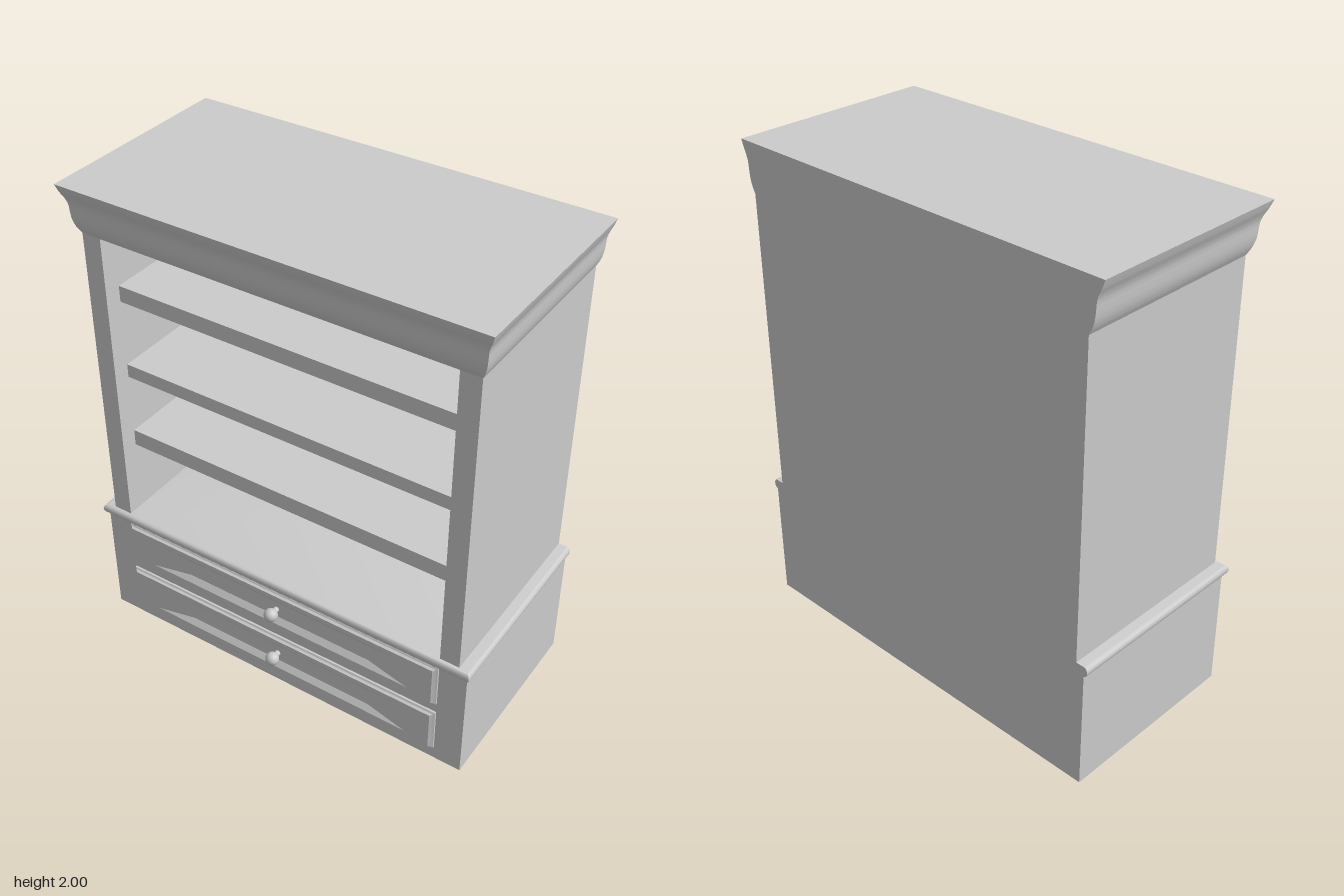
import * as THREE from 'three';
import { toCreasedNormals } from 'three/addons/utils/BufferGeometryUtils.js';

const material = new THREE.MeshStandardMaterial({ color: 0xcccccc });
const BACK = -0.43, FRONT = 0.365;

function add(parent, name, geometry) {
  const mesh = new THREE.Mesh(geometry, material);
  mesh.name = name;
  parent.add(mesh);
  return mesh;
}

// Box given by its lower and upper limits on each axis
function box(parent, name, x0, x1, y0, y1, z0, z1) {
  const mesh = add(parent, name, new THREE.BoxGeometry(x1 - x0, y1 - y0, z1 - z0));
  mesh.position.set((x0 + x1) / 2, (y0 + y1) / 2, (z0 + z1) / 2);
  return mesh;
}

// Closed skin over a stack of four-cornered rings, capped at both ends
function loft(rings, crease) {
  const index = [];
  for (let r = 0; r < rings.length - 1; r++) {
    for (let i = 0; i < 4; i++) {
      const a = r * 4 + i, b = r * 4 + (i + 1) % 4;
      index.push(a, b, b + 4, a, b + 4, a + 4);
    }
  }
  const e = (rings.length - 1) * 4;
  index.push(0, 2, 1, 0, 3, 2, e, e + 1, e + 2, e, e + 2, e + 3);
  const geometry = new THREE.BufferGeometry();
  geometry.setAttribute('position', new THREE.Float32BufferAttribute(rings.flat(2), 3));
  geometry.setIndex(index);
  return toCreasedNormals(geometry, crease);
}

// Moulding round the front and sides, flush at the back; profile is [overhang, y]
function moulding(parent, name, halfWidth, profile) {
  const rings = profile.map(([out, y]) => {
    const w = halfWidth + out, f = FRONT + out;
    return [[-w, y, f], [w, y, f], [w, y, BACK], [-w, y, BACK]];
  });
  return add(parent, name, loft(rings, 0.8));
}

// Drawer with chamfered rim, sunken bevelled panel and round knob
function drawer(name, y0, y1) {
  const group = new THREE.Group();
  group.name = name;
  const h = (y1 - y0) / 2;
  const steps = [
    [0.72, h, FRONT - 0.005], [0.72, h, 0.373], [0.713, h - 0.007, 0.377],
    [0.703, h - 0.012, 0.386], [0.6, h - 0.033, 0.386], [0.42, h - 0.058, 0.369],
  ];
  const rings = steps.map(([w, t, z]) => [[-w, -t, z], [w, -t, z], [w, t, z], [-w, t, z]]);
  add(group, 'drawerFront', loft(rings, 0.25));

  const profile = [new THREE.Vector2(0.012, 0), new THREE.Vector2(0.012, 0.02)];
  for (let i = 0; i <= 12; i++) {
    const a = -1.13 + (i / 12) * (1.13 + Math.PI / 2);
    profile.push(new THREE.Vector2(Math.max(0, 0.028 * Math.cos(a)), 0.042 + 0.027 * Math.sin(a)));
  }
  const knob = add(group, 'knob', new THREE.LatheGeometry(profile, 24));
  knob.rotation.x = Math.PI / 2;
  knob.position.z = 0.366;
  group.position.y = (y0 + y1) / 2;
  return group;
}

export function createModel() {
  const model = new THREE.Group();
  model.name = 'bookcase';

  // Drawer base and the rounded ledge on top of it
  box(model, 'base', -0.835, 0.835, 0, 0.5, BACK, FRONT);
  const ledge = [[-0.01, 0.498]];
  for (let i = 0; i <= 10; i++) {
    const a = -Math.PI / 2 + (i / 10) * Math.PI;
    ledge.push([0.005 + 0.015 * Math.cos(a), 0.52 + 0.021 * Math.sin(a)]);
  }
  moulding(model, 'ledge', 0.83, ledge);
  model.add(drawer('lowerDrawer', 0.06, 0.255), drawer('upperDrawer', 0.303, 0.495));

  // Open upper cabinet
  for (const [name, s] of [['leftSide', 1], ['rightSide', -1]]) {
    box(model, name, Math.min(s * 0.72, s * 0.8), Math.max(s * 0.72, s * 0.8), 0.54, 1.805, BACK, FRONT);
  }
  box(model, 'backPanel', -0.72, 0.72, 0.54, 1.805, BACK, -0.25);
  for (const [y0, y1] of [[0.85, 0.92], [1.175, 1.232], [1.51, 1.577]]) {
    box(model, 'shelf', -0.72, 0.72, y0, y1, -0.25, 0.295);
  }

  // Crown moulding: a convex swell below a flared cove
  const curve = new THREE.SplineCurve([
    [0, 1.803], [0.013, 1.83], [0.021, 1.86], [0.024, 1.89],
    [0.026, 1.92], [0.033, 1.945], [0.044, 1.97], [0.054, 2],
  ].map(([x, y]) => new THREE.Vector2(x, y)));
  moulding(model, 'crown', 0.8, curve.getPoints(28).map((p) => [p.x, p.y]));

  return model;
}
